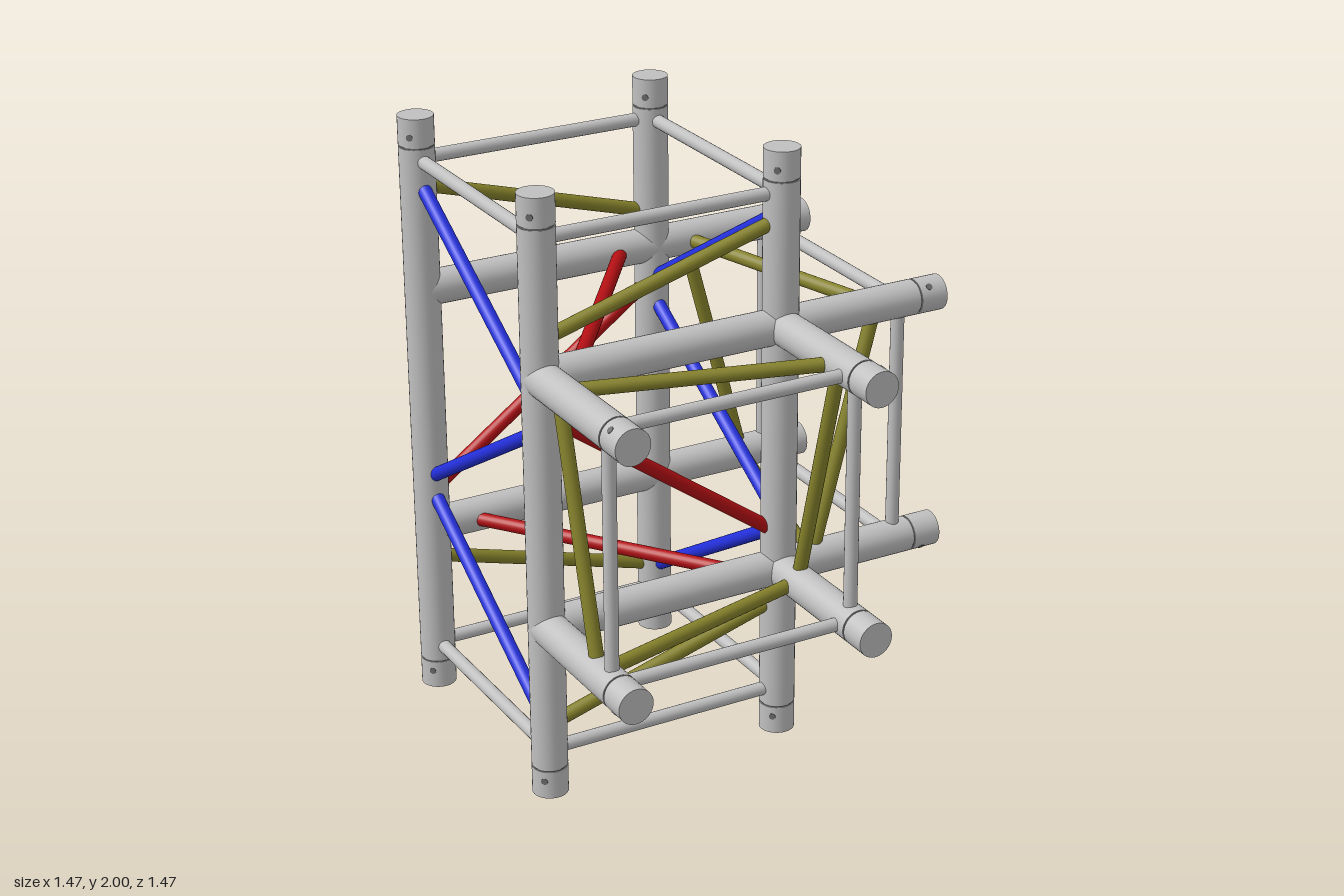
import * as THREE from 'three';

const BACK = -0.68, FRONT = 0.153;      // chord lines, shared by x and z
const SIDES = [BACK, FRONT];
const LEVELS = [0.583, 1.417];          // heights of the horizontal arms
const TIP = 0.737;                      // end of the arms
const R = 0.058, RAIL_R = 0.022, BRACE_R = 0.023;
const UP = new THREE.Vector3(0, 1, 0);
const V = (x, y, z) => new THREE.Vector3(x, y, z);

export function createModel() {
  const model = new THREE.Group();
  model.name = 'trussCorner';
  const material = (name, color) => {
    const m = new THREE.MeshStandardMaterial({ color });
    m.name = name;
    return m;
  };
  const aluminium = material('aluminium', 0xc0c0c0);
  const groove = material('grooveGrey', 0x6a6a6a);
  const red = material('red', 0xb41014);
  const blue = material('blue', 0x2430dc);
  const olive = material('olive', 0x86822c);

  // Round bar between two points, optionally lengthened at both ends
  function bar(name, a, b, radius, mat, extra = 0, sides = 20) {
    const dir = b.clone().sub(a);
    const geo = new THREE.CylinderGeometry(radius, radius, dir.length() + 2 * extra, sides);
    const mesh = new THREE.Mesh(geo, mat);
    mesh.name = name;
    mesh.position.copy(a).add(b).multiplyScalar(0.5);
    mesh.quaternion.setFromUnitVectors(UP, dir.normalize());
    model.add(mesh);
  }
  const brace = (a, b, mat) => bar('diagonalBrace', a, b, BRACE_R, mat, 0.02);
  const rail = (a, b) => bar('rail', a, b, RAIL_R, aluminium);

  // Collar at a chord end: groove, sleeve and a small pin hole facing `side`
  function chordEnd(tip, outward, side) {
    const at = (d) => tip.clone().addScaledVector(outward, -d);
    bar('endGroove', at(0.1), at(0.094), R - 0.003, groove, 0.001, 32);
    bar('endSleeve', at(0.094), at(0), R, aluminium, 0, 32);
    const n = side.clone().normalize();
    const hole = at(0.06).addScaledVector(n, R);
    bar('pinHole', hole.clone().addScaledVector(n, -0.003),
      hole.clone().addScaledVector(n, 0.001), 0.011, groove, 0, 16);
  }

  // Upright chords
  for (const x of SIDES) for (const z of SIDES) {
    bar('uprightChord', V(x, 0.1, z), V(x, 1.9, z), R, aluminium, 0, 32);
    chordEnd(V(x, 2, z), V(0, 1, 0), V(-1, 0, 1));
    chordEnd(V(x, 0, z), V(0, -1, 0), V(-1, 0, 1));
  }

  // Horizontal chords: long ones along x, short ones towards the front
  for (const y of LEVELS) for (const s of SIDES) {
    const dy = Math.sign(y - 1), out = s === BACK ? -1 : 1;
    bar('sideChord', V(BACK, y, s), V(TIP - 0.1, y, s), R, aluminium, 0, 32);
    chordEnd(V(TIP, y, s), V(1, 0, 0), V(0, dy, out));
    bar('frontChord', V(s, y, FRONT), V(s, y, TIP - 0.1), R, aluminium, 0, 32);
    chordEnd(V(s, y, TIP), V(0, 0, 1), V(out, dy, 0));
  }

  // Square rings of thin rails close to every open end
  const RING = 0.587;
  for (const y of [0.15, 1.857]) for (const s of SIDES) {
    rail(V(BACK, y, s), V(FRONT, y, s));
    rail(V(s, y, BACK), V(s, y, FRONT));
  }
  for (const s of SIDES) {
    rail(V(RING, LEVELS[0], s), V(RING, LEVELS[1], s));
    rail(V(s, LEVELS[0], RING), V(s, LEVELS[1], RING));
  }
  for (const y of LEVELS) {
    rail(V(RING, y, BACK), V(RING, y, FRONT));
    rail(V(BACK, y, RING), V(FRONT, y, RING));
  }

  // Braces run between chord surfaces lo and hi; opposite faces lean opposite ways
  const lo = BACK + R, hi = FRONT - R;

  // Front and back faces: [low, high, colour, front brace rises with x]
  for (const [y0, y1, mat, rises] of [
    [0.25, 0.455, olive, true], [0.745, 1.26, red, false], [1.55, 1.755, olive, true],
  ]) for (const z of SIDES) {
    const up = (z === FRONT) === rises;
    brace(V(lo, up ? y0 : y1, z), V(hi, up ? y1 : y0, z), mat);
  }

  // Left and right faces: [low, high, left brace rises with z]
  for (const [y0, y1, rises] of [
    [0.26, 0.69, true], [0.79, 1.21, false], [1.33, 1.757, true],
  ]) for (const x of SIDES) {
    const up = (x === FRONT) === rises;
    brace(V(x, up ? y0 : y1, lo), V(x, up ? y1 : y0, hi), blue);
  }

  // Level faces: the core in red, the two arms in olive
  const near = 0.292, far = 0.485;
  for (const y of LEVELS) {
    const top = y > 1;
    brace(V(top ? 0 : -0.517, y, lo), V(top ? -0.517 : 0, y, hi), red);
    brace(V(top ? near : far, y, lo), V(top ? far : near, y, hi), olive);
    brace(V(lo, y, top ? near : far), V(hi, y, top ? far : near), olive);
  }

  // Upright faces of the two arms
  const yLow = LEVELS[0] + R, yHigh = LEVELS[1] - R;
  for (const s of SIDES) {
    const a = s === BACK ? far : near, b = s === BACK ? near : far;
    brace(V(a, yLow, s), V(b, yHigh, s), olive);
    brace(V(s, yLow, a), V(s, yHigh, b), olive);
  }

  return model;
}
